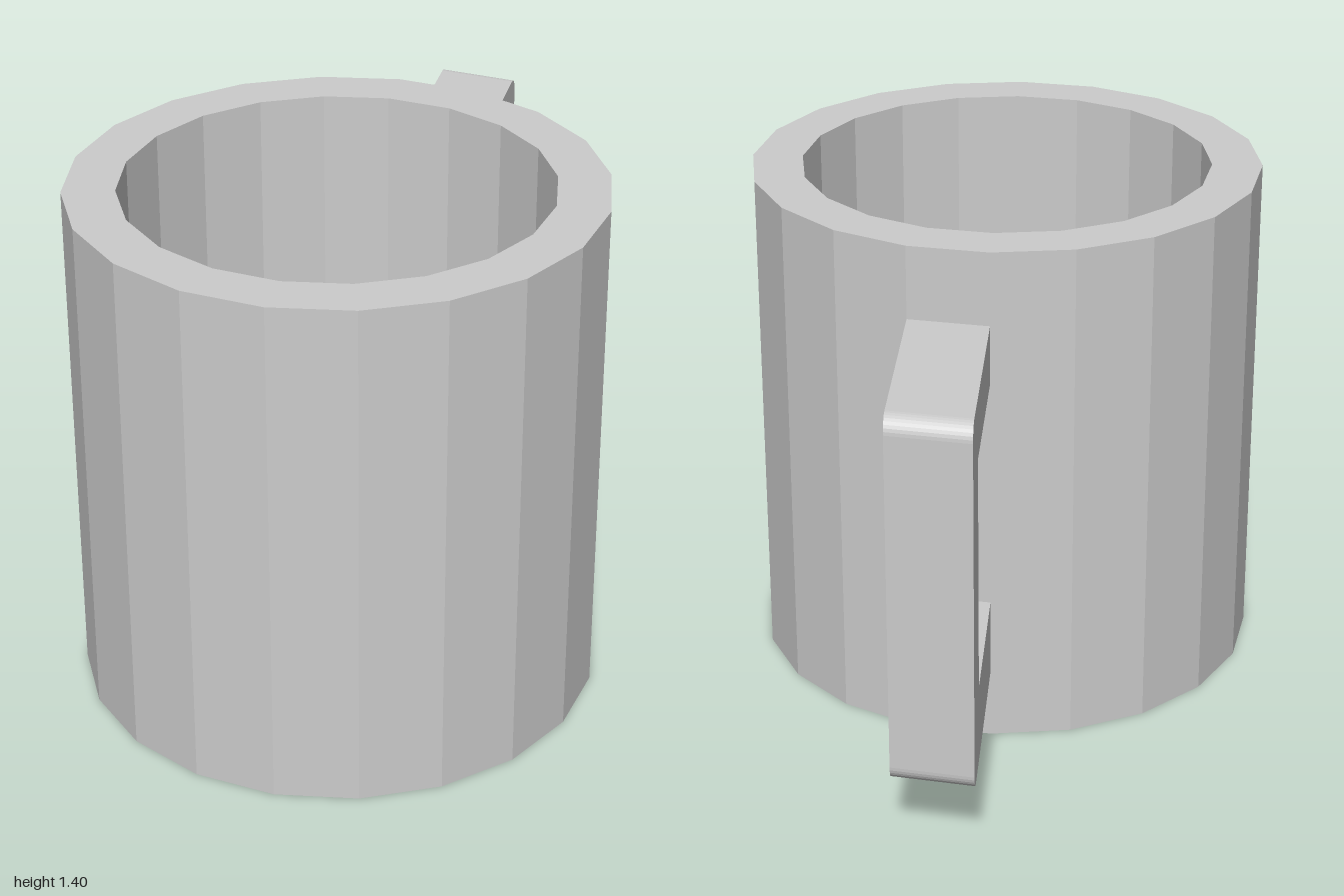
import * as THREE from 'three';

const SIDES = 20;
const R = 0.697, INNER = 0.56, HEIGHT = 1.4, FLOOR = 0.14;
const CENTRE_Z = 0.302;

export function createModel() {
  const mug = new THREE.Group();
  mug.name = 'mug';
  const material = new THREE.MeshStandardMaterial({ color: 0xcccccc, flatShading: true });

  // Body: closed faceted profile, outer wall, rim, inner wall and floor
  const profile = [[0, 0], [R, 0], [R, HEIGHT], [INNER, HEIGHT], [INNER, FLOOR], [0, FLOOR]]
    .map(([r, y]) => new THREE.Vector2(r, y));
  const body = new THREE.Mesh(new THREE.LatheGeometry(profile, SIDES), material);
  body.name = 'body';
  body.position.z = CENTRE_Z;
  mug.add(body);

  // Handle: square C outline with rounded outer corners, as wide as one facet
  const near = 0.39, far = 1, bar = 0.84, r = 0.045;
  const bottom = 0.195, top = 1.2;
  const outline = new THREE.Shape();
  outline.moveTo(near, bottom);
  outline.lineTo(far - r, bottom);
  outline.absarc(far - r, bottom + r, r, -Math.PI / 2, 0);
  outline.lineTo(far, top - r);
  outline.absarc(far - r, top - r, r, 0, Math.PI / 2);
  outline.lineTo(near, top);
  outline.lineTo(near, 1.04);
  outline.lineTo(bar, 1.04);
  outline.lineTo(bar, 0.405);
  outline.lineTo(near, 0.405);
  outline.closePath();

  const facet = 2 * Math.PI / SIDES;
  const handleGeometry = new THREE.ExtrudeGeometry(outline, {
    depth: R * Math.sin(facet), bevelEnabled: false, curveSegments: 4,
  });
  handleGeometry.rotateY(Math.PI / 2);
  // Shear the handle so that its back runs parallel to the facet it grows from
  const p = handleGeometry.attributes.position;
  for (let i = 0; i < p.count; i++) p.setZ(i, p.getZ(i) + p.getX(i) * Math.tan(facet / 2));
  handleGeometry.computeVertexNormals();
  const handle = new THREE.Mesh(handleGeometry, material);
  handle.name = 'handle';
  mug.add(handle);

  return mug;
}
